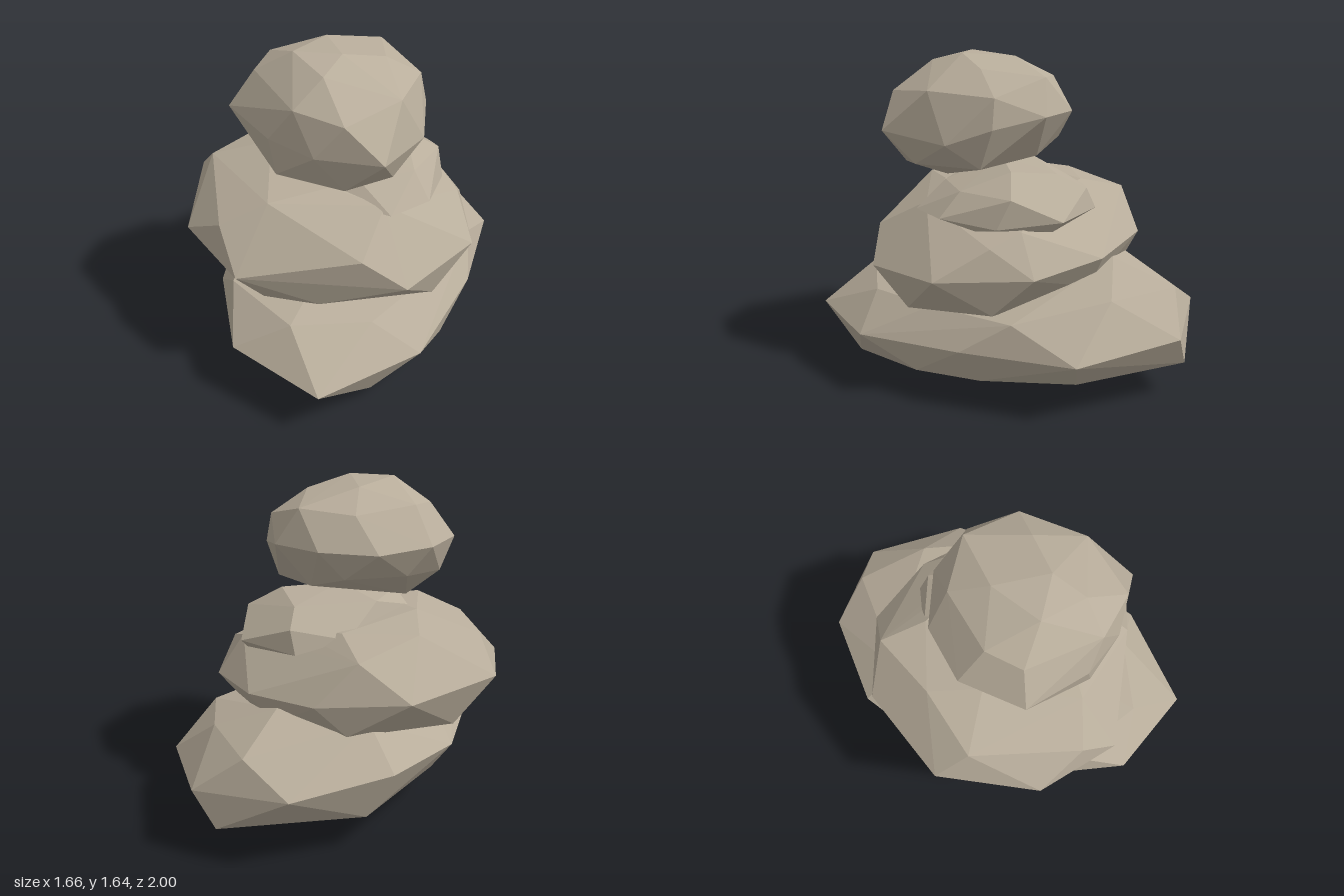
import * as THREE from 'three';
import { ConvexGeometry } from 'three/addons/geometries/ConvexGeometry.js';

// Each boulder is a faceted hull around a few rings of points, listed from bottom to top.
const boulders = {
  baseStone: [
    [[0.25, 0, 0.2], [0.38, 0.02, -0.38], [-0.2, 0.03, 0.1]],
    [[0.09, 0.06, 0.76], [0.48, 0.12, 0.42], [0.6, 0.12, 0.1], [0.7, 0.15, -0.36], [0.49, 0.17, -0.91],
      [-0.2, 0.18, -0.75], [-0.5, 0.19, -0.25], [-0.57, 0.16, 0.2], [-0.38, 0.12, 0.65]],
    [[-0.17, 0.24, 1], [0.34, 0.25, 0.72], [0.65, 0.29, 0.2], [0.83, 0.29, -0.35], [0.61, 0.34, -0.86],
      [0.13, 0.38, -1], [-0.33, 0.42, -0.77], [-0.6, 0.38, -0.35], [-0.68, 0.33, 0.2], [-0.59, 0.29, 0.69]],
    [[-0.3, 0.45, 0.72], [-0.6, 0.46, 0.38], [0.1, 0.41, 0.66], [0.4, 0.43, 0.35], [0.68, 0.44, -0.05],
      [0.57, 0.52, -0.53], [0.36, 0.52, -0.87]],
    [[0.25, 0.64, -0.57], [-0.2, 0.6, -0.6], [-0.48, 0.52, -0.1], [0, 0.53, 0.1]],
  ],
  middleStone: [
    [[-0.05, 0.4, 0], [-0.62, 0.43, 0.1], [-0.43, 0.45, 0.5], [0.42, 0.43, 0.46], [0.59, 0.45, 0.04]],
    [[-0.77, 0.54, 0.1], [-0.16, 0.48, 0.6], [0.3, 0.5, -0.45], [-0.1, 0.56, -0.68], [-0.6, 0.52, -0.4]],
    [[-0.83, 0.69, 0.22], [-0.56, 0.65, 0.6], [0.27, 0.6, 0.65], [0.63, 0.63, 0.32], [0.63, 0.64, -0.16],
      [0.4, 0.68, -0.5], [0.05, 0.72, -0.72], [-0.4, 0.74, -0.69], [-0.8, 0.75, -0.32]],
    [[-0.64, 0.84, 0.42], [0.05, 0.76, 0.64], [0.58, 0.78, 0.05], [0.5, 0.84, -0.1],
      [-0.15, 0.92, -0.65], [-0.72, 0.91, -0.15]],
    [[-0.4, 1.01, -0.1], [-0.1, 0.97, 0.3], [-0.4, 0.95, 0.4], [0.17, 0.91, 0.38], [-0.05, 0.98, -0.42],
      [-0.42, 0.97, -0.38], [0.25, 0.93, -0.2]],
  ],
  wedgeStone: [
    [[0.45, 0.83, -0.25], [0.45, 0.83, 0.12], [0, 0.82, 0]],
    [[0.5, 0.85, 0.02], [0.47, 0.88, -0.3], [0.17, 0.88, -0.48], [-0.08, 0.95, -0.43], [-0.35, 1, 0],
      [-0.15, 0.92, 0.3], [0.2, 0.88, 0.43], [0.4, 0.88, 0.3]],
    [[0.48, 0.99, -0.05], [0.2, 0.99, -0.43], [0.33, 1, 0.2], [0.05, 1, 0.29]],
    [[0.3, 1.09, -0.05], [0.2, 1.06, -0.28], [-0.2, 1.07, -0.18], [-0.28, 1.06, 0.1], [0, 1.11, 0]],
  ],
  topStone: [
    [[-0.17, 1.03, 0.3], [0.06, 1.03, 0.28], [-0.34, 1.05, 0.02], [0, 1.08, 0]],
    [[-0.51, 1.17, 0.07], [-0.35, 1.13, 0.42], [-0.03, 1.08, 0.5], [0.2, 1.11, 0.43], [0.34, 1.11, 0.1],
      [0.13, 1.14, -0.18], [-0.05, 1.21, -0.3], [-0.35, 1.21, -0.2]],
    [[-0.58, 1.34, 0.12], [-0.38, 1.31, 0.4], [-0.17, 1.28, 0.54], [0.15, 1.27, 0.6], [0.36, 1.23, 0.27],
      [0.39, 1.31, 0.04], [0.3, 1.36, -0.22], [0.07, 1.36, -0.36], [-0.22, 1.35, -0.36], [-0.47, 1.36, -0.2]],
    [[-0.45, 1.52, 0.1], [-0.26, 1.48, 0.45], [-0.03, 1.45, 0.56], [0.24, 1.48, 0.36], [0.36, 1.46, 0.03],
      [0.18, 1.54, -0.22], [-0.1, 1.52, -0.27], [-0.38, 1.54, -0.08]],
    [[-0.26, 1.64, 0.16], [-0.03, 1.64, 0.2], [-0.1, 1.62, -0.07], [0.18, 1.58, 0.1], [-0.12, 1.6, 0.36]],
  ],
};

export function createModel() {
  const group = new THREE.Group();
  group.name = 'stackedStones';
  const stone = new THREE.MeshStandardMaterial({ color: 0xb8ad9b, flatShading: true });
  stone.name = 'warm grey stone';

  for (const [name, rings] of Object.entries(boulders)) {
    const points = rings.flat().map((p) => new THREE.Vector3(...p));
    const mesh = new THREE.Mesh(new ConvexGeometry(points), stone);
    mesh.name = name;
    group.add(mesh);
  }
  return group;
}
